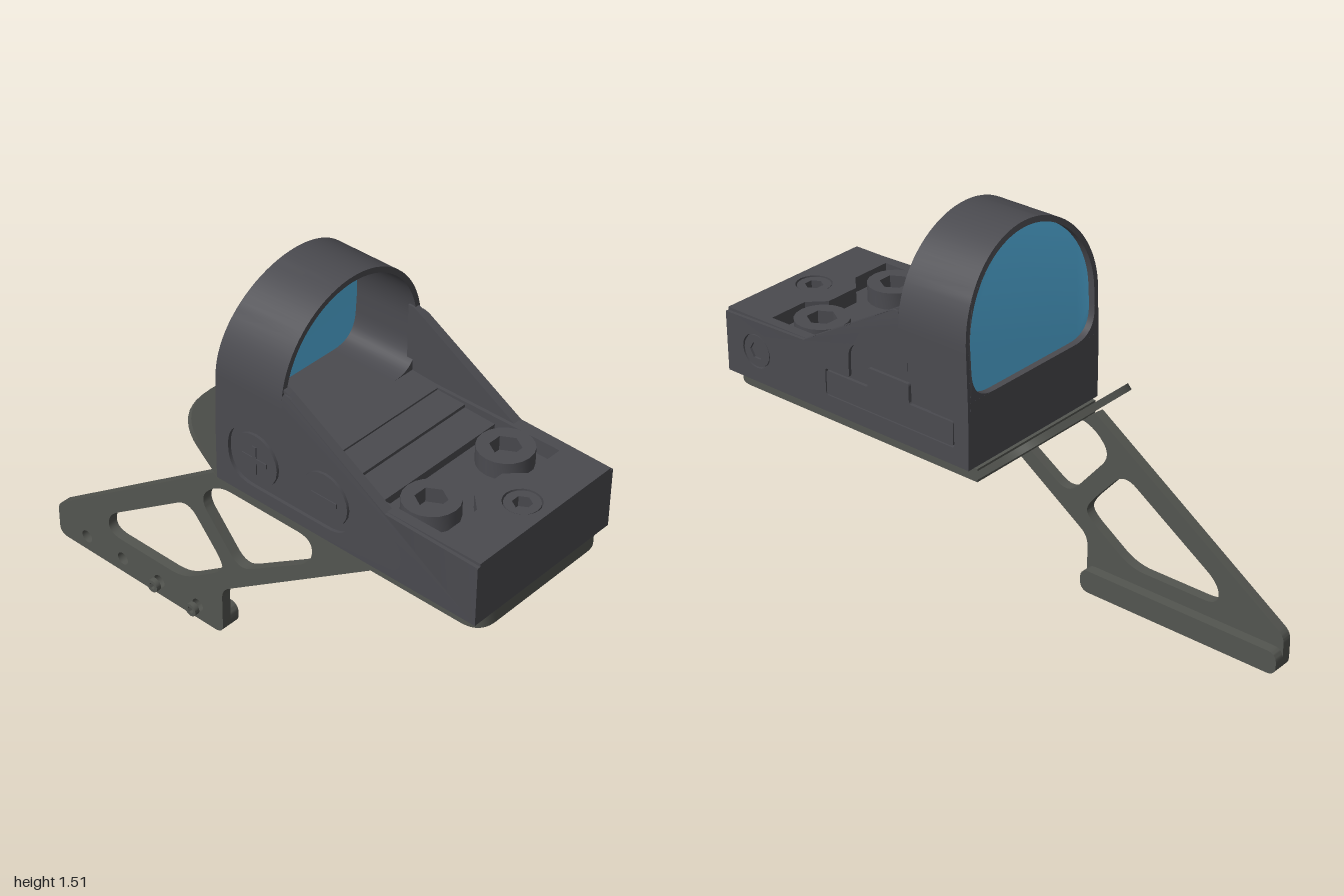
import * as THREE from 'three';
import { toCreasedNormals } from 'three/addons/utils/BufferGeometryUtils.js';

const bodyMat = new THREE.MeshStandardMaterial({ color: 0x4a4a4f });
const bracketMat = new THREE.MeshStandardMaterial({ color: 0x535550 });
const lensMat = new THREE.MeshStandardMaterial({ color: 0x55b5e5, side: THREE.DoubleSide });

const HALF = 0.343;    // outer half width, also the hood radius
const INNER = 0.33;    // half width of the core behind the side walls
const ARC_Y = 1.167;   // centre height of the hood arc

// Polygon with rounded corners; a point may carry its own radius
function poly(points, radius = 0, Type = THREE.Shape) {
  const shape = new Type();
  const n = points.length;
  const toward = (p, q, r) => {
    const d = Math.hypot(q[0] - p[0], q[1] - p[1]);
    const t = Math.min(r / d, 0.49);
    return [p[0] + (q[0] - p[0]) * t, p[1] + (q[1] - p[1]) * t];
  };
  points.forEach((p, i) => {
    const r = p[2] ?? radius;
    const a = toward(p, points[(i + n - 1) % n], r);
    const b = toward(p, points[(i + 1) % n], r);
    if (i === 0) shape.moveTo(...a); else shape.lineTo(...a);
    if (r > 0) shape.quadraticCurveTo(p[0], p[1], ...b);
  });
  shape.closePath();
  return shape;
}
const rect = (x0, x1, y0, y1, r, Type) => poly([[x0, y0], [x1, y0], [x1, y1], [x0, y1]], r, Type);
const circle = (x, y, r, Type = THREE.Path) => new Type().absarc(x, y, r, 0, Math.PI * 2, false);

function extrude(shape, depth, holes = []) {
  shape.holes.push(...holes);
  return new THREE.ExtrudeGeometry(shape, { depth, bevelEnabled: false, curveSegments: 10 });
}
// Shape drawn in (z, y), spanning x0..x1
const sideways = (shape, x0, x1, holes) =>
  extrude(shape, x1 - x0, holes).rotateY(-Math.PI / 2).translate(x1, 0, 0);
// Shape drawn in (x, z), spanning y0..y1
const plan = (shape, y0, y1, holes) =>
  extrude(shape, y1 - y0, holes).rotateX(Math.PI / 2).translate(0, y1, 0);

function add(parent, name, geo, mat) {
  const flat = geo.index ? geo.toNonIndexed() : geo;
  const mesh = new THREE.Mesh(toCreasedNormals(flat, 0.5), mat);
  mesh.name = name;
  parent.add(mesh);
  return mesh;
}

// Hex socket screw, head facing +z with its top at z = 0
function socketScrew(name, r, h, mat) {
  const g = new THREE.Group();
  g.name = name;
  const hex = new THREE.Path();
  for (let i = 0; i < 6; i++) {
    const a = (i * Math.PI) / 3, p = [Math.cos(a) * r * 0.55, Math.sin(a) * r * 0.55];
    if (i) hex.lineTo(...p); else hex.moveTo(...p);
  }
  hex.closePath();
  add(g, name + 'Head', extrude(circle(0, 0, r, THREE.Shape), h, [hex]).translate(0, 0, -h), mat);
  add(g, name + 'Socket', new THREE.CircleGeometry(r * 0.9, 20).translate(0, 0, -h * 0.8), mat);
  return g;
}

// Rear face of the housing leans forward toward the top
function backZ(y) {
  const t = Math.max(0, (y - 0.95) / 0.56);
  return -0.127 + 0.047 * t * t;
}

// Arch outline: straight sides closed by a semicircle
function arch(half, r, bottom, corner, Type = THREE.Shape) {
  const s = new Type();
  s.moveTo(-half + corner, bottom);
  s.lineTo(half - corner, bottom);
  s.quadraticCurveTo(half, bottom, half, bottom + corner);
  s.lineTo(half, ARC_Y);
  if (r !== half) s.lineTo(r, ARC_Y);
  for (let i = 1; i <= 40; i++) {
    const a = (i / 40) * Math.PI;
    s.lineTo(Math.cos(a) * r, ARC_Y + Math.sin(a) * r);
  }
  if (r !== half) s.lineTo(-half, ARC_Y);
  s.lineTo(-half, bottom + corner);
  s.quadraticCurveTo(-half, bottom, -half + corner, bottom);
  return s;
}

// Pull the tops of the side walls in to follow the hood arc
function followArc(geo) {
  const p = geo.attributes.position;
  for (let i = 0; i < p.count; i++) {
    const up = Math.max(0, p.getY(i) - ARC_Y), lim = Math.sqrt(HALF * HALF - up * up);
    p.setX(i, THREE.MathUtils.clamp(p.getX(i), -lim, lim));
  }
  return geo;
}

function buildSight() {
  const g = new THREE.Group();
  g.name = 'sightBody';

  // Core with stepped floor
  add(g, 'core', sideways(poly([[1, 0.735], [1, 0.92], [0.55, 0.92], [0.55, 0.95], [0.42, 0.955],
    [0.42, 0.967], [0.3, 0.97], [0.3, 0.977], [0.175, 0.985], [-0.127, 0.985], [-0.127, 0.735]]),
  -INNER, INNER), bodyMat);

  // Front deck with side rails around the screw pocket
  add(g, 'deck', plan(poly([[-INNER, 1], [INNER, 1], [INNER, 0.17], [0.292, 0.17], [0.292, 0.82],
    [0.13, 0.82], [0.07, 0.76], [-0.07, 0.76], [-0.13, 0.82], [-0.292, 0.82], [-0.292, 0.17],
    [-INNER, 0.17]]), 0.915, 0.978, [circle(0, 0.9, 0.067)]), bodyMat);

  // Hood ring
  const hood = extrude(arch(INNER, HALF, 0.96, 0), 1, [arch(0.322, 0.322, 0.985, 0.11, THREE.Path)]);
  const p = hood.attributes.position;
  for (let i = 0; i < p.count; i++) p.setZ(i, p.getZ(i) < 0.5 ? backZ(p.getY(i)) : 0.175);
  add(g, 'hood', hood, bodyMat);

  // Lens following the rear face
  const lens = new THREE.ShapeGeometry(arch(0.323, 0.323, 0.984, 0.11), 10);
  const q = lens.attributes.position;
  for (let i = 0; i < q.count; i++) q.setZ(i, backZ(q.getY(i)) + 0.025);
  add(g, 'lens', lens, lensMat);

  // Side walls with recesses, and the sloping wings inside them
  const wall = () => poly([[1, 0.735], [1, 0.967], [0.62, 0.977], [0.175, 1.24, 0.05],
    [0.175, ARC_Y], [backZ(ARC_Y), ARC_Y], [-0.127, 0.95], [-0.127, 0.735]]);
  const wing = () => poly([[0.62, 0.9], [0.62, 0.977], [0.175, 1.24, 0.05], [0.15, 1.24], [0.15, 0.9]]);
  const trayRecess = poly([[-0.065, 0.8], [0.52, 0.8], [0.52, 0.902], [0.408, 0.902], [0.408, 1.05, 0.09],
    [0.042, 1.05, 0.09], [0.042, 0.902], [-0.065, 0.902]], 0.012, THREE.Path);
  const buttonRecess = rect(-0.07, 0.48, 0.785, 1.01, 0.11, THREE.Path);
  add(g, 'leftWall', followArc(sideways(wall(), INNER, HALF,
    [trayRecess, circle(0.855, 0.855, 0.066)])), bodyMat);
  add(g, 'rightWall', followArc(sideways(wall(), -HALF, -INNER, [buttonRecess])), bodyMat);
  add(g, 'leftWing', followArc(sideways(wing(), 0.306, INNER + 0.001)), bodyMat);
  add(g, 'rightWing', followArc(sideways(wing(), -INNER - 0.001, -0.306)), bodyMat);

  // Battery tray on the left
  add(g, 'batteryTray', sideways(poly([[-0.06, 0.805], [0.515, 0.805], [0.515, 0.895], [0.322, 0.895],
    [0.322, 0.97], [0.135, 0.97], [0.135, 0.895], [-0.06, 0.895]], 0.01), INNER - 0.01, HALF), bodyMat);

  // Brightness buttons on the right
  for (const [name, z] of [['plusButton', 0.05], ['minusButton', 0.36]]) {
    add(g, name, sideways(circle(z, 0.897, 0.1, THREE.Shape), -0.341, -0.325), bodyMat);
    const bar = (w, h) => add(g, name + 'Mark',
      new THREE.BoxGeometry(0.008, h, w).translate(-0.341, 0.897, z), bodyMat);
    bar(0.11, 0.018);
    if (name === 'plusButton') bar(0.018, 0.11);
  }

  // Screws
  const screw = (name, r, h, x, y, z, rx, ry) => {
    const s = socketScrew(name, r, h, bodyMat);
    s.position.set(x, y, z);
    s.rotation.set(rx, ry, 0);
    g.add(s);
  };
  for (const s of [-1, 1]) screw('mountScrew', 0.1, 0.07, s * 0.187, 0.985, 0.68, -Math.PI / 2, 0);
  screw('elevationScrew', 0.062, 0.05, 0, 0.975, 0.9, -Math.PI / 2, 0);
  screw('windageScrew', 0.061, 0.011, 0.341, 0.855, 0.855, 0, Math.PI / 2);
  return g;
}

function buildBracket() {
  const g = new THREE.Group();
  g.name = 'bracket';

  // Base plate with mounting holes
  const holes = [-1, 1].flatMap(s => [circle(s * 0.187, 0.68, 0.05), circle(s * 0.16, 0.43, 0.035)]);
  add(g, 'basePlate', plan(poly([[-0.313, 1, 0.08], [0.317, 1, 0.08], [0.317, -0.14], [-0.313, -0.14]]),
    0.685, 0.735, holes), bracketMat);

  // Upturned rear flap
  const flap = add(g, 'rearFlap', extrude(poly([[-0.313, 0], [0.317, 0], [0.317, 0.297, 0.16],
    [-0.313, 0.297, 0.16]]), 0.025), bracketMat);
  flap.rotation.x = -0.85;
  flap.position.set(0, 0.685, -0.13);

  // Skeleton arm with two windows and a row of foot holes
  const windows = [
    [[0.28, 0.668], [-0.155, 0.668], [-0.25, 0.57], [-0.06, 0.345], [0.28, 0.567]],
    [[-0.305, 0.52], [-0.725, 0.235], [-0.725, 0.15], [-0.345, 0.15], [-0.145, 0.29], [-0.145, 0.335]],
  ].map(w => poly(w, 0.065, THREE.Path));
  const footHoles = [-0.275, -0.47, -0.66, -0.85].map(z => circle(z, 0.062, 0.026));
  add(g, 'arm', sideways(poly([[0.545, 0.686], [-0.15, 0.205, 0.04], [-0.15, 0, 0.04], [-1, 0, 0.04],
    [-1, 0.14, 0.03], [-0.175, 0.712], [-0.14, 0.686]]), -0.31, -0.27, [...windows, ...footHoles]), bracketMat);
  add(g, 'foot', sideways(rect(-1, -0.15, 0, 0.09, 0.04), -0.272, -0.23), bracketMat);

  // Small foot screws
  for (const z of [-0.275, -0.47]) {
    const s = socketScrew('footScrew', 0.026, 0.02, bracketMat);
    s.rotation.y = -Math.PI / 2;
    s.position.set(-0.348, 0.062, z);
    g.add(s);
  }
  return g;
}

export function createModel() {
  const model = new THREE.Group();
  model.name = 'reflexSightOnBracket';
  const sight = buildSight();
  sight.position.x = 0.0025;
  model.add(sight, buildBracket());
  return model;
}
